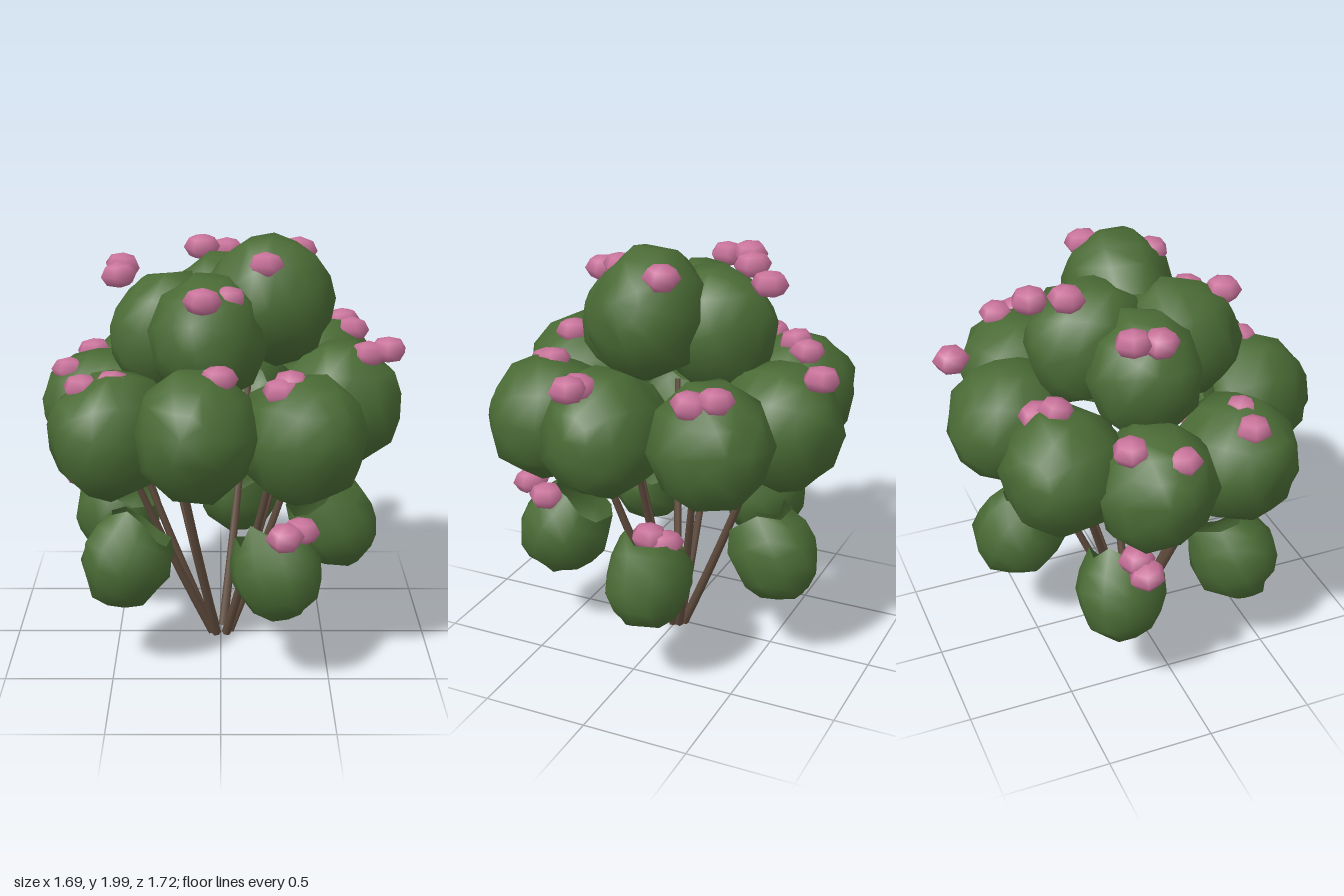
import * as THREE from 'three';
import { mergeVertices } from 'three/addons/utils/BufferGeometryUtils.js';

const leafGreen = new THREE.MeshStandardMaterial({ color: 0x4a6b35, side: THREE.DoubleSide });
leafGreen.name = 'leafGreen';
const blossomPink = new THREE.MeshStandardMaterial({ color: 0xc8729a });
blossomPink.name = 'blossomPink';
const barkBrown = new THREE.MeshStandardMaterial({ color: 0x604c3e });
barkBrown.name = 'barkBrown';

// Repeatable value in -1..1
function noise(a, b, c) {
  const s = Math.sin(a * 12.99 + b * 78.23 + c * 37.72) * 43758.55;
  return (s - Math.floor(s)) * 2 - 1;
}

// Open, uneven dome with a ragged rim; its pole is +y
function domeGeometry(seed, sweep) {
  const sides = 10, rows = 6;
  const geo = new THREE.SphereGeometry(1, sides, rows, 0, Math.PI * 2, 0, Math.PI * sweep);
  const p = geo.attributes.position;
  const v = new THREE.Vector3();
  for (let i = 0; i < p.count; i++) {
    const row = Math.floor(i / (sides + 1));
    const col = row === 0 ? 0 : (i % (sides + 1)) % sides;
    v.fromBufferAttribute(p, i).multiplyScalar(1 + 0.055 * noise(row, col, seed));
    if (row === rows) v.y += 0.2 * noise(col, 5, seed);
    p.setXYZ(i, v.x, v.y, v.z);
  }
  geo.deleteAttribute('uv');
  geo.deleteAttribute('normal');
  const merged = mergeVertices(geo, 1e-4);
  merged.computeVertexNormals();
  return merged;
}

// Dome facing outward from the trunk axis, raised or dipped by "lift" degrees
function foliage(name, [x, y, z], { size, lift, sweep }, seed) {
  const mesh = new THREE.Mesh(domeGeometry(seed, sweep), leafGreen);
  mesh.name = name;
  mesh.position.set(x, y, z);
  mesh.rotation.order = 'YXZ';
  mesh.rotation.set(Math.PI / 2 - THREE.MathUtils.degToRad(lift), Math.atan2(x, z), 0);
  mesh.scale.set(...size);
  return mesh;
}

// Slightly bowed, tapering stem from the base to a clump
function stem([x, y, z]) {
  const a = Math.atan2(z, x);
  const start = new THREE.Vector3(Math.cos(a) * 0.045, 0.012, Math.sin(a) * 0.045);
  const end = new THREE.Vector3(x, y, z);
  const mid = start.clone().lerp(end, 0.55);
  mid.x *= 1.1;
  mid.z *= 1.1;
  const curve = new THREE.QuadraticBezierCurve3(start, mid, end);
  const geo = new THREE.TubeGeometry(curve, 6, 0.02, 6);
  const p = geo.attributes.position, c = new THREE.Vector3(), v = new THREE.Vector3();
  for (let i = 0; i < p.count; i++) {
    const t = Math.floor(i / 7) / 6;
    curve.getPointAt(t, c);
    v.fromBufferAttribute(p, i).sub(c).multiplyScalar(1.15 - 0.4 * t).add(c);
    p.setXYZ(i, v.x, v.y, v.z);
  }
  const mesh = new THREE.Mesh(geo, barkBrown);
  mesh.name = 'stem';
  return mesh;
}

export function createModel() {
  const model = new THREE.Group();
  model.name = 'floweringShrub';

  // Foliage tiers
  const crown = [[0.23, 1.69, 0.03], [-0.06, 1.55, 0.21], [-0.24, 1.52, -0.03], [0.02, 1.59, -0.2]];
  const middle = [
    [-0.36, 1.19, -0.46], [0.1, 1.2, -0.55], [0.49, 1.22, -0.38], [0.55, 1.22, 0.1],
    [0.36, 1.17, 0.48], [-0.11, 1.21, 0.55], [-0.49, 1.14, 0.31], [-0.56, 1.14, -0.1],
  ];
  const skirt = [
    [0.25, 0.55, 0.48], [0.55, 0.55, -0.11], [0.1, 0.56, -0.54], [-0.51, 0.56, -0.25], [-0.43, 0.55, 0.35],
  ];
  const tiers = [
    ['crownFoliage', crown, { size: [0.265, 0.28, 0.3], lift: 24, sweep: 0.72 }],
    ['middleFoliage', middle, { size: [0.28, 0.29, 0.3], lift: 12, sweep: 0.75 }],
    ['skirtFoliage', skirt, { size: [0.205, 0.235, 0.22], lift: -60, sweep: 0.74 }],
  ];
  tiers.forEach(([name, spots, form], t) => {
    const tier = new THREE.Group();
    tier.name = name;
    spots.forEach((s, i) => tier.add(foliage(name + 'Clump', s, form, t * 20 + i + 1)));
    model.add(tier);
  });

  // Stems, one to each middle clump
  const stems = new THREE.Group();
  stems.name = 'stems';
  [
    [-0.32, 1.15, -0.4], [0.14, 1.15, -0.5], [0.38, 1.15, -0.27], [0.42, 1.15, 0.03],
    [0.27, 1.15, 0.36], [-0.21, 1.15, 0.4], [-0.48, 1.1, 0.22], [-0.45, 1.1, -0.02],
  ].forEach((s) => stems.add(stem(s)));
  model.add(stems);

  // Blossoms
  const spots = [
    [0.36, 1.9, -0.09], [0.2, 1.88, 0.18], [0.03, 1.75, 0.29], [-0.08, 1.77, 0.42],
    [-0.46, 1.81, -0.17], [-0.47, 1.79, -0.05], [-0.09, 1.87, -0.33], [0.03, 1.83, -0.46],
    [0.22, 1.5, -0.78], [0.6, 1.48, -0.45], [0.64, 1.46, -0.35], [0.76, 1.49, 0.16],
    [0.67, 1.47, 0.16], [0.26, 1.4, 0.54], [0.3, 1.42, 0.49], [-0.01, 1.46, 0.55],
    [-0.62, 1.36, 0.33], [-0.48, 1.38, 0.34], [-0.71, 1.34, -0.04], [-0.61, 1.38, -0.24],
    [-0.31, 1.46, -0.47], [-0.27, 1.43, -0.54], [-0.7, 0.77, -0.2], [-0.63, 0.81, -0.22],
    [0.28, 0.77, 0.65], [0.36, 0.75, 0.52], [0.52, 0.74, -0.1], [0.5, 0.71, -0.17],
  ];
  const blossomGeo = new THREE.SphereGeometry(0.087, 6, 4);
  const blossoms = new THREE.Group();
  blossoms.name = 'blossoms';
  spots.forEach((s, i) => {
    const b = new THREE.Mesh(blossomGeo, blossomPink);
    b.name = 'blossom';
    b.position.set(...s);
    b.rotation.set(0.12 * noise(i, 1, 2), i * 0.7, 0.12 * noise(i, 3, 4));
    b.scale.y = 0.7;
    blossoms.add(b);
  });
  model.add(blossoms);

  return model;
}
